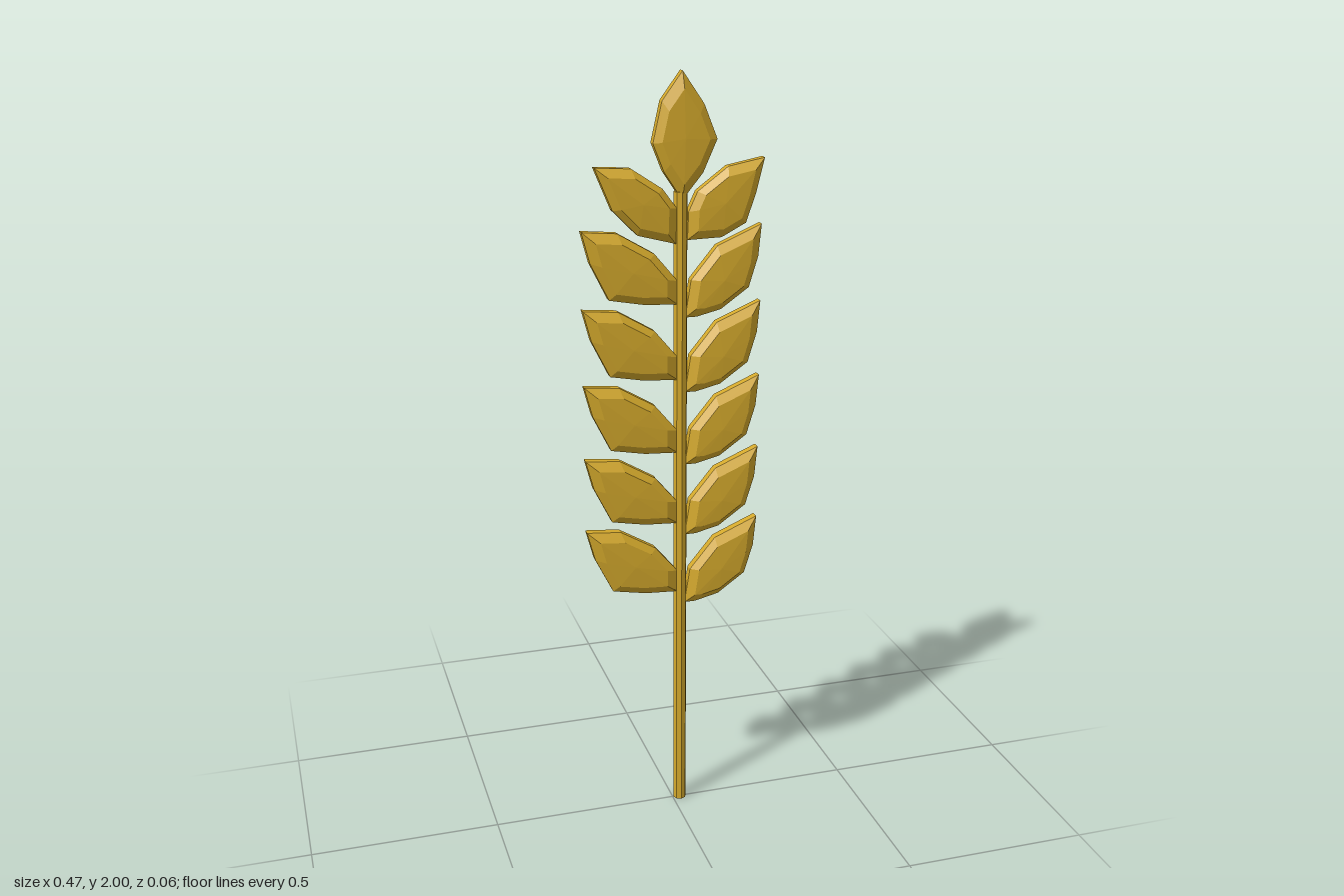
import * as THREE from 'three';

const gold = new THREE.MeshStandardMaterial({ color: 0xd4a92c, flatShading: true });
gold.name = 'gold';

// Faceted grain: nested copies of the outline (counter-clockwise), stepping from rim to crown on both faces
function grainGeometry(outline) {
  const n = outline.length;
  const cx = outline.reduce((s, p) => s + p[0], 0) / n;
  const cy = outline.reduce((s, p) => s + p[1], 0) / n;
  const rings = [[0.02, -0.028], [0.74, -0.025], [1, -0.011], [1, 0.011], [0.74, 0.025], [0.02, 0.028]];
  const pos = [], idx = [];
  for (const [s, z] of rings)
    for (const [x, y] of outline) pos.push(cx + (x - cx) * s, cy + (y - cy) * s, z);
  for (let r = 0; r < rings.length - 1; r++)
    for (let i = 0; i < n; i++) {
      const a = r * n + i, b = r * n + (i + 1) % n;
      idx.push(a, b, b + n, a, b + n, a + n);
    }
  // close the tiny crowns
  const last = (rings.length - 1) * n;
  for (let i = 1; i < n - 1; i++) idx.push(0, i + 1, i, last, last + i, last + i + 1);
  const g = new THREE.BufferGeometry();
  g.setAttribute('position', new THREE.Float32BufferAttribute(pos, 3));
  g.setIndex(idx);
  g.computeVertexNormals();
  return g;
}

export function createModel() {
  const group = new THREE.Group();
  const add = (name, geometry, x = 0, y = 0) => {
    const mesh = new THREE.Mesh(geometry, gold);
    mesh.name = name;
    mesh.position.set(x, y, 0);
    group.add(mesh);
  };

  // Stem
  add('stem', new THREE.CylinderGeometry(0.018, 0.018, 1.71, 8), 0.02, 0.855);

  // Five matching rows of grains
  const left = grainGeometry([[-0.235, 0.836], [-0.214, 0.757], [-0.167, 0.662], [-0.077, 0.645],
    [0.01, 0.64], [0.01, 0.7], [-0.05, 0.772], [-0.145, 0.828]]);
  const right = grainGeometry([[0.23, 0.832], [0.114, 0.783], [0.045, 0.7], [0.03, 0.605],
    [0.06, 0.605], [0.124, 0.62], [0.198, 0.672], [0.222, 0.75]]);
  for (let i = 0; i < 5; i++) {
    add('leftRowGrain', left, 0, i * 0.197);
    add('rightRowGrain', right, 0, i * 0.197);
  }

  // Upper pair and tip grain
  add('upperLeftRowGrain', grainGeometry([[-0.2, 1.778], [-0.156, 1.672], [-0.093, 1.608], [0.005, 1.582],
    [0.008, 1.67], [-0.029, 1.72], [-0.108, 1.772]]));
  add('upperRightRowGrain', grainGeometry([[0.235, 1.785], [0.14, 1.767], [0.061, 1.709], [0.038, 1.66],
    [0.035, 1.59], [0.124, 1.592], [0.188, 1.625], [0.214, 1.7]]));
  add('tipGrain', grainGeometry([[0.022, 2], [-0.03, 1.93], [-0.053, 1.83], [-0.025, 1.76],
    [0.022, 1.69], [0.075, 1.755], [0.111, 1.835], [0.077, 1.92]]));
  return group;
}
